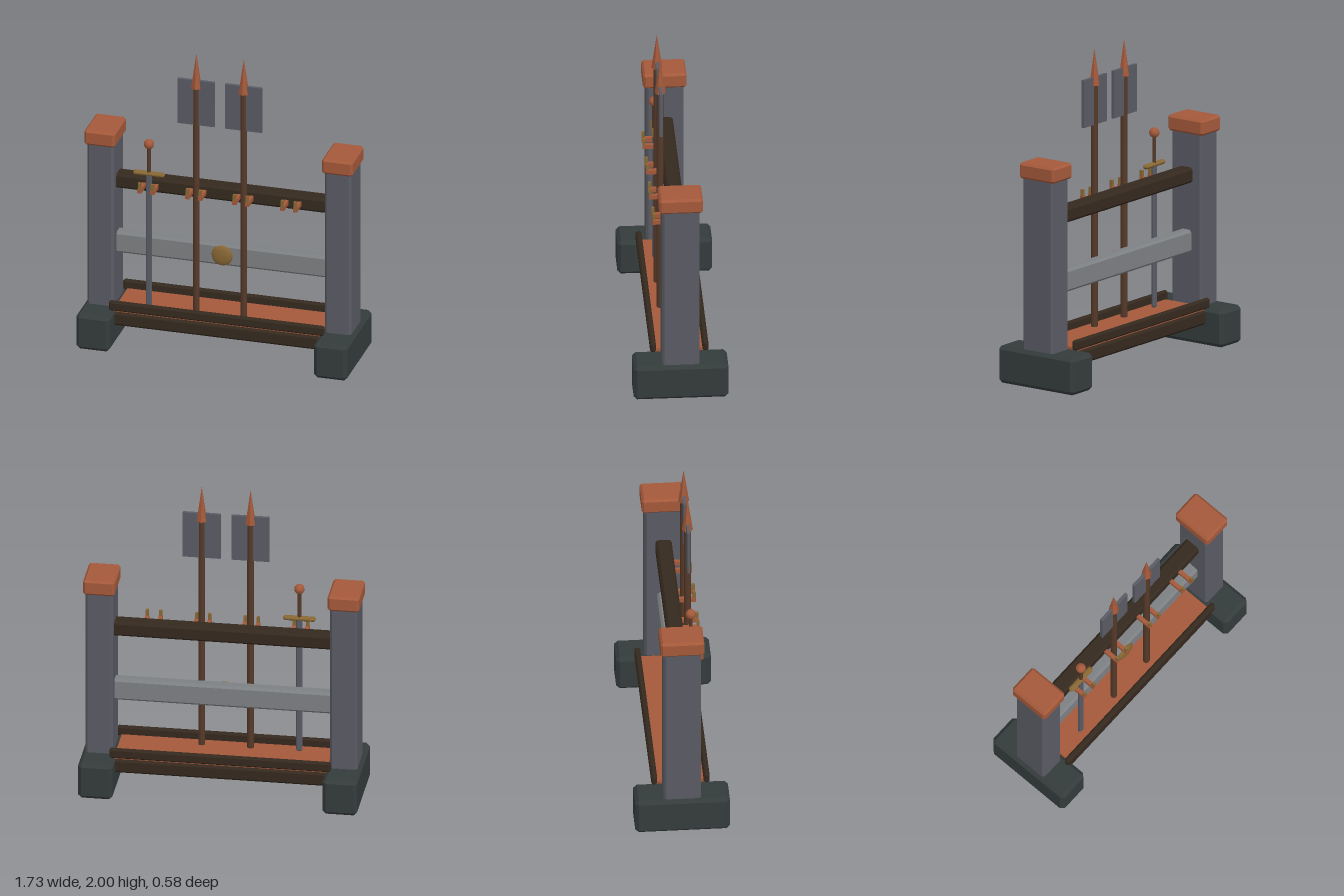
import * as THREE from 'three';
import { ConvexGeometry } from 'three/addons/geometries/ConvexGeometry.js';

const mat = (name, color) => {
  const m = new THREE.MeshStandardMaterial({ color });
  m.name = name;
  return m;
};

// Box with every edge cut flat
function chamferBox(w, h, d, c) {
  const points = [];
  for (const sx of [-1, 1]) for (const sy of [-1, 1]) for (const sz of [-1, 1]) {
    const x = sx * w / 2, y = sy * h / 2, z = sz * d / 2;
    points.push(
      new THREE.Vector3(x, y - sy * c, z - sz * c),
      new THREE.Vector3(x - sx * c, y, z - sz * c),
      new THREE.Vector3(x - sx * c, y - sy * c, z)
    );
  }
  return new ConvexGeometry(points);
}

export function createModel() {
  const stone = mat('stone grey', 0x5a5b64);
  const slate = mat('dark slate', 0x343c3b);
  const copper = mat('copper', 0xa4593a);
  const darkWood = mat('dark wood', 0x35291e);
  const shaftWood = mat('shaft wood', 0x563a29);
  const steel = mat('pale steel', 0x7d8083);
  const brass = mat('brass', 0x886734);

  const root = new THREE.Group();
  root.name = 'weaponRack';

  const add = (parent, name, geometry, material, x, y, z) => {
    const mesh = new THREE.Mesh(geometry, material);
    mesh.name = name;
    mesh.position.set(x, y, z);
    parent.add(mesh);
    return mesh;
  };
  const group = (name, x) => {
    const g = new THREE.Group();
    g.name = name;
    g.position.x = x;
    root.add(g);
    return g;
  };

  // Side posts with feet and caps
  for (const [side, s] of [['left', 1], ['right', -1]]) {
    const g = group(side + 'Post', s * 0.757);
    add(g, 'foot', chamferBox(0.214, 0.235, 0.582, 0.022), slate, 0, 0.1175, 0);
    add(g, 'post', chamferBox(0.168, 1.12, 0.23, 0.014), stone, 0, 0.775, 0);
    add(g, 'cap', chamferBox(0.196, 0.1, 0.268, 0.014), copper, 0, 1.362, 0);
  }

  // Base beam, tray and its two lips
  add(root, 'baseBeam', chamferBox(1.34, 0.09, 0.33, 0.014), darkWood, 0, 0.175, 0);
  add(root, 'tray', new THREE.BoxGeometry(1.31, 0.028, 0.3), copper, 0, 0.231, 0);
  for (const s of [-1, 1]) {
    add(root, s > 0 ? 'frontLip' : 'backLip',
      chamferBox(1.37, 0.062, 0.036, 0.01), darkWood, 0, 0.265, s * 0.161);
  }

  // Cross rails and round boss
  add(root, 'topRail', chamferBox(1.38, 0.096, 0.1, 0.015), darkWood, 0, 1.053, 0);
  add(root, 'middleRail', chamferBox(1.38, 0.142, 0.08, 0.015), steel, 0, 0.635, 0);
  const boss = add(root, 'boss', new THREE.SphereGeometry(0.067, 16, 10), brass, 0, 0.635, 0.042);
  boss.scale.z = 0.3;

  // Pairs of hooks
  for (const x of [-0.455, -0.15, 0.15, 0.455]) {
    const g = group('hookPair', x);
    for (const s of [-1, 1]) {
      add(g, 'hookArm', new THREE.BoxGeometry(0.025, 0.028, 0.112), copper, s * 0.041, 1.054, 0.098);
      add(g, 'hookTip', new THREE.BoxGeometry(0.018, 0.05, 0.018), brass, s * 0.041, 1.083, 0.145);
    }
  }

  // Bladed spears
  const shaft = new THREE.CylinderGeometry(0.021, 0.021, 1.56, 8);
  const tip = new THREE.ConeGeometry(0.034, 0.232, 6).toNonIndexed();
  tip.computeVertexNormals();
  for (const x of [-0.152, 0.15]) {
    const g = group('spear', x);
    add(g, 'spearShaft', shaft, shaftWood, 0, 1.025, 0.083);
    add(g, 'spearTip', tip, copper, 0, 1.884, 0.083);
    add(g, 'spearBlade', new THREE.BoxGeometry(0.234, 0.3, 0.02), stone, 0, 1.67, 0.083);
  }

  // Sword standing point down
  const sword = group('sword', -0.455);
  add(sword, 'swordBlade', chamferBox(0.038, 0.9, 0.024, 0.007), stone, 0, 0.695, 0.08);
  add(sword, 'swordGuard', chamferBox(0.2, 0.028, 0.036, 0.01), brass, 0, 1.147, 0.08);
  add(sword, 'swordGrip', new THREE.CylinderGeometry(0.012, 0.012, 0.18, 8), shaftWood, 0, 1.245, 0.08);
  add(sword, 'swordPommel', new THREE.SphereGeometry(0.032, 12, 8), copper, 0, 1.347, 0.08);

  return root;
}
